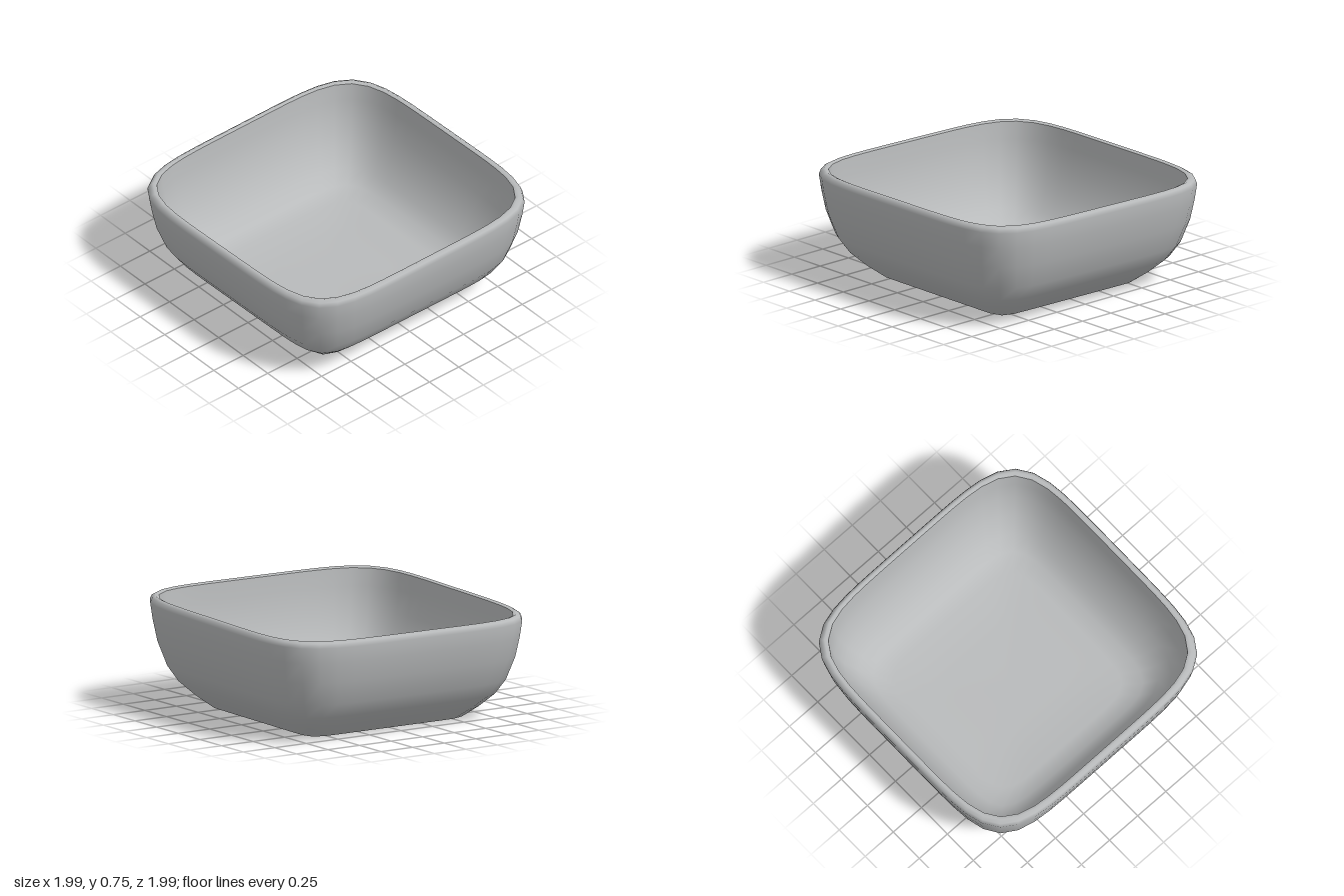
import * as THREE from 'three';

const SEGMENTS = 64;

// Gentle handmade lean: the lip rises toward +x and slightly toward the back.
function lean(x, y, z) {
  const t = Math.min(1, y / 0.7);
  return y + x * (0.012 + 0.013 * t) - z * 0.008 * t;
}

// Loft through rounded-square rings: [half width, height, squareness].
// A ring of zero width closes the surface in a single point.
function loft(rings) {
  const positions = [], indices = [];
  for (const [w, y, n] of rings) {
    for (let i = 0; i < SEGMENTS; i++) {
      const a = (i / SEGMENTS) * Math.PI * 2;
      const c = Math.cos(a), s = Math.sin(a);
      const r = w * Math.pow(Math.abs(c) ** n + Math.abs(s) ** n, -1 / n);
      const x = r * c, z = r * s;
      positions.push(x, lean(x, y, z), z);
    }
  }
  for (let j = 0; j < rings.length - 1; j++) {
    for (let i = 0; i < SEGMENTS; i++) {
      const k = (i + 1) % SEGMENTS;
      const a = j * SEGMENTS + i, b = j * SEGMENTS + k;
      const c = a + SEGMENTS, d = b + SEGMENTS;
      if (rings[j][0] > 0) indices.push(a, c, b);
      if (rings[j + 1][0] > 0) indices.push(b, c, d);
    }
  }
  const geometry = new THREE.BufferGeometry();
  geometry.setAttribute('position', new THREE.Float32BufferAttribute(positions, 3));
  geometry.setIndex(indices);
  geometry.computeVertexNormals();
  return geometry;
}

export function createModel() {
  const bowl = new THREE.Group();
  bowl.name = 'bowl';
  const ceramic = new THREE.MeshStandardMaterial({ color: 0xb9bbbc });
  ceramic.name = 'grey ceramic';

  const add = (name, rings) => {
    const mesh = new THREE.Mesh(loft(rings), ceramic);
    mesh.name = name;
    bowl.add(mesh);
  };

  // Outer wall, from the square foot up and over the lip
  add('outerWall', [
    [0.62, 0.012, 14], [0.72, 0.09, 10], [0.82, 0.18, 7.5], [0.89, 0.28, 6.4],
    [0.95, 0.44, 5.8], [0.98, 0.58, 5.5], [0.995, 0.685, 5.4],
    [0.985, 0.715, 5.4], [0.965, 0.728, 5.4], [0.945, 0.718, 5.4],
  ]);

  // Inner wall running down into the flat floor
  add('innerWallAndFloor', [
    [0.945, 0.718, 5.4], [0.935, 0.6, 5.4], [0.91, 0.45, 5.6], [0.85, 0.29, 6],
    [0.77, 0.17, 6.5], [0.69, 0.1, 7], [0.58, 0.065, 7], [0.3, 0.055, 7], [0, 0.055, 7],
  ]);

  // Underside with a shallow hollow inside the foot
  add('underside', [
    [0, 0.04, 14], [0.15, 0.038, 14], [0.4, 0.026, 14], [0.58, 0.012, 14], [0.62, 0.012, 14],
  ]);

  return bowl;
}
